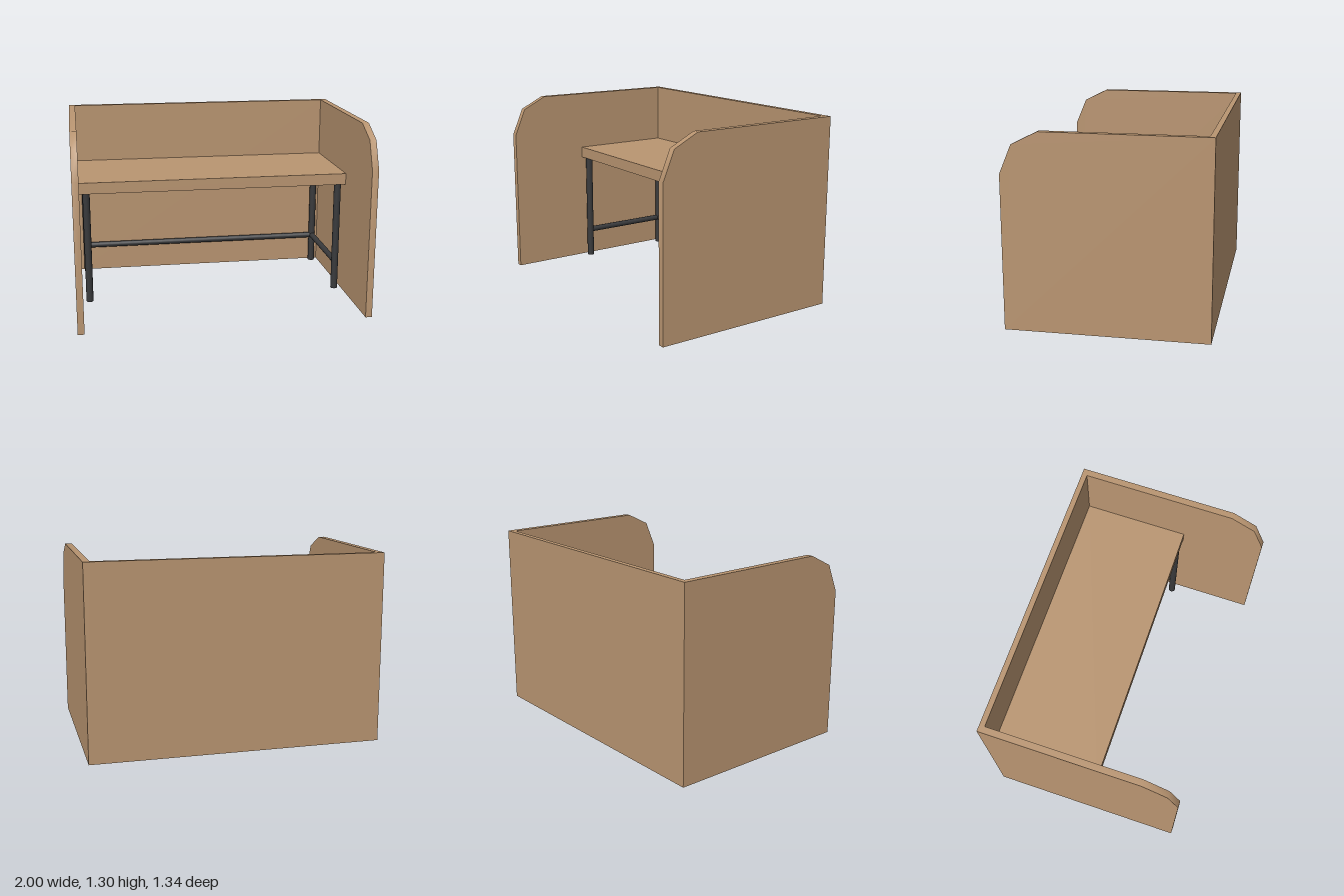
import * as THREE from 'three';
import { toCreasedNormals } from 'three/addons/utils/BufferGeometryUtils.js';

export function createModel() {
  const group = new THREE.Group();
  const wood = new THREE.MeshStandardMaterial({ color: 0xb99571 });
  wood.name = 'wood';
  const metal = new THREE.MeshStandardMaterial({ color: 0x38393b });
  metal.name = 'dark metal';

  const H = 1.305, D = 0.67, T = 0.045;
  const inner = 1 - T;

  function add(name, geometry, material, x, y, z) {
    const mesh = new THREE.Mesh(geometry, material);
    mesh.name = name;
    mesh.position.set(x, y, z);
    group.add(mesh);
    return mesh;
  }

  // Side panels with a faceted upper front corner (shape x runs along -z)
  const outline = [[-D, 0], [D, 0], [D, H], [-0.42, H], [-0.59, 1.22], [-D, 1.03]];
  const shape = new THREE.Shape(outline.map(([x, y]) => new THREE.Vector2(x, y)));
  const panel = toCreasedNormals(
    new THREE.ExtrudeGeometry(shape, { depth: T, bevelEnabled: false }).rotateY(Math.PI / 2), 0.8);
  add('leftPanel', panel, wood, inner, 0, 0);
  add('rightPanel', panel, wood, -1, 0, 0);

  // Back panel and desktop between the sides
  add('backPanel', new THREE.BoxGeometry(inner * 2, H, 0.037), wood, 0, H / 2, -D + 0.0185);
  add('desktop', new THREE.BoxGeometry(inner * 2, 0.08, 0.733), wood, 0, 0.84, -0.2665);

  // Tubular frame: four legs, two side rails and a rear rail
  const legX = 0.905, frontZ = 0.065, backZ = -0.6, railY = 0.21;
  const leg = new THREE.CylinderGeometry(0.025, 0.025, 0.8, 16);
  const length = frontZ - backZ;
  const sideRail = new THREE.CylinderGeometry(0.021, 0.021, length, 16).rotateX(Math.PI / 2);
  for (const [side, s] of [['left', 1], ['right', -1]]) {
    add(side + 'FrontLeg', leg, metal, s * legX, 0.4, frontZ);
    add(side + 'BackLeg', leg, metal, s * legX, 0.4, backZ);
    add(side + 'Rail', sideRail, metal, s * legX, railY, (frontZ + backZ) / 2);
  }
  const backRail = new THREE.CylinderGeometry(0.021, 0.021, legX * 2, 16).rotateZ(Math.PI / 2);
  add('backRail', backRail, metal, 0, railY, backZ);

  return group;
}
